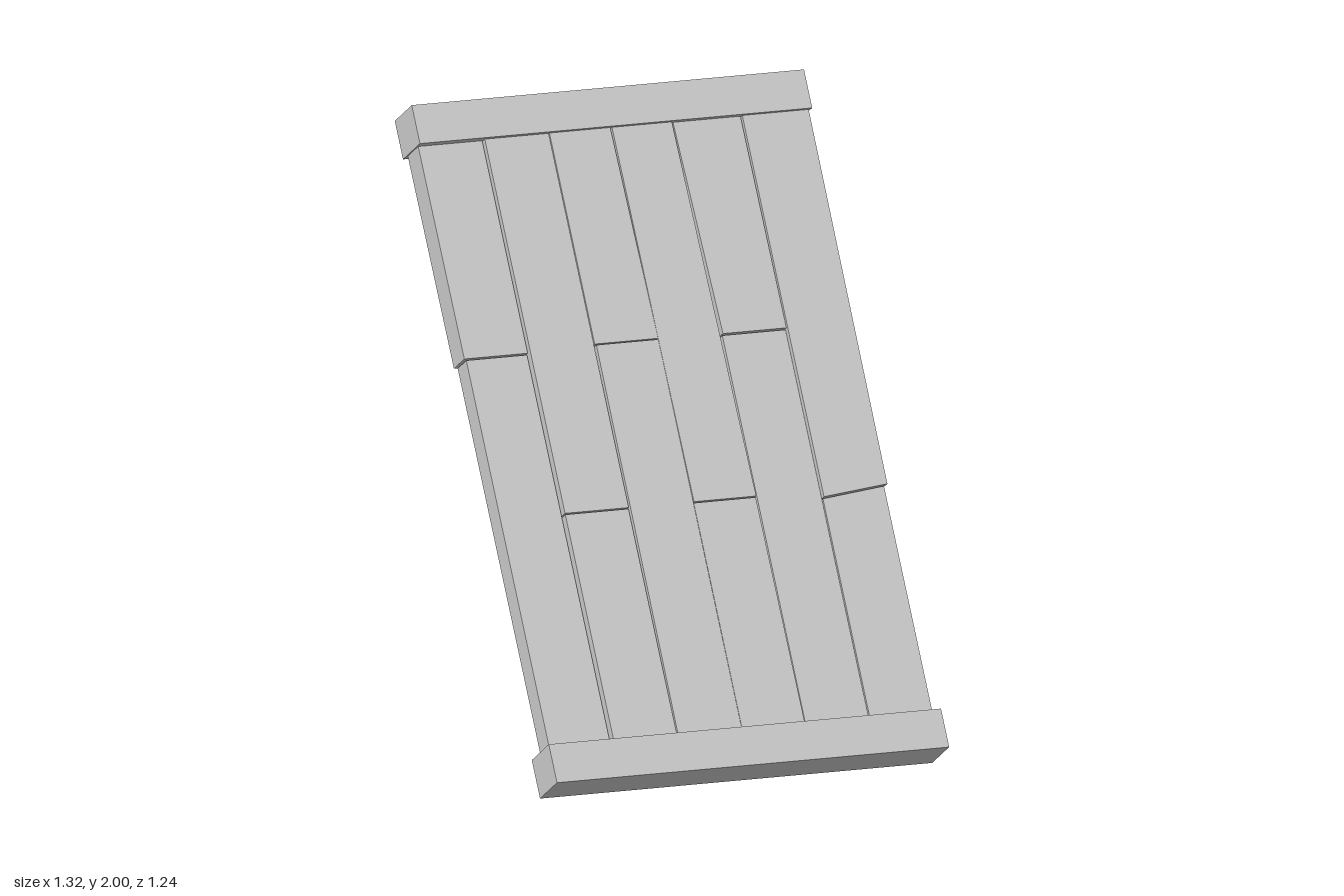
import * as THREE from 'three';

const material = new THREE.MeshStandardMaterial({ color: 0xcccccc, flatShading: true });

// Flat board from four corners: bottom and top x pairs, y at each corner, half thickness
function plank(name, [bl, br, tl, tr], [ybl, ybr, ytl, ytr], half) {
  const shape = new THREE.Shape();
  shape.moveTo(bl, ybl);
  shape.lineTo(br, ybr);
  shape.lineTo(tr, ytr);
  shape.lineTo(tl, ytl);
  shape.closePath();
  const geometry = new THREE.ExtrudeGeometry(shape, { depth: half * 2, bevelEnabled: false });
  geometry.translate(0, 0, -half);
  const mesh = new THREE.Mesh(geometry, material);
  mesh.name = name;
  return mesh;
}

export function createModel() {
  const model = new THREE.Group();
  model.name = 'leaningPlankPanel';

  const panel = new THREE.Group();
  panel.name = 'panel';
  model.add(panel);

  // Cross rails capping both ends
  for (const side of [-1, 1]) {
    const rail = new THREE.Mesh(new THREE.BoxGeometry(1.324, 0.126, 0.15), material);
    rail.name = side > 0 ? 'topRail' : 'bottomRail';
    rail.position.y = side * 1.048;
    panel.add(rail);
  }

  // Each column is two butted planks; x = [bottom left, bottom right, top left, top right],
  // joint = height of the joint at left and right, half = half thickness
  const columns = [
    { joint: [0.288, 0.288],
      upper: { x: [-0.655, -0.441, -0.657, -0.441], half: 0.046 },
      lower: { x: [-0.646, -0.441, -0.646, -0.441], half: 0.038 } },
    { joint: [-0.242, -0.242],
      upper: { x: [-0.437, -0.222, -0.437, -0.222], half: 0.059 },
      lower: { x: [-0.435, -0.222, -0.435, -0.222], half: 0.055 } },
    { joint: [0.293, 0.293],
      upper: { x: [-0.22, -0.006, -0.22, -0.015], half: 0.062 },
      lower: { x: [-0.22, -0.005, -0.214, -0.005], half: 0.06 } },
    { joint: [-0.243, -0.243],
      upper: { x: [-0.003, 0.207, -0.009, 0.193], half: 0.062 },
      lower: { x: [-0.003, 0.209, -0.003, 0.206], half: 0.058 } },
    { joint: [0.291, 0.291],
      upper: { x: [0.215, 0.429, 0.199, 0.427], half: 0.056 },
      lower: { x: [0.216, 0.429, 0.216, 0.429], half: 0.046 } },
    { joint: [-0.265, -0.242],
      upper: { x: [0.431, 0.65, 0.431, 0.655], half: 0.062 },
      lower: { x: [0.431, 0.642, 0.431, 0.642], half: 0.051 } },
  ];
  const end = 1.0;
  const gap = 0.003;
  columns.forEach(({ joint: [jl, jr], upper, lower }, i) => {
    panel.add(plank(`upperPlank${i + 1}`, upper.x, [jl, jr, end, end], upper.half));
    panel.add(plank(`lowerPlank${i + 1}`, lower.x, [-end, -end, jl - gap, jr - gap], lower.half));
  });

  // Lean the whole panel backwards
  panel.rotation.x = -Math.PI / 6;
  panel.position.y = 1;
  return model;
}
